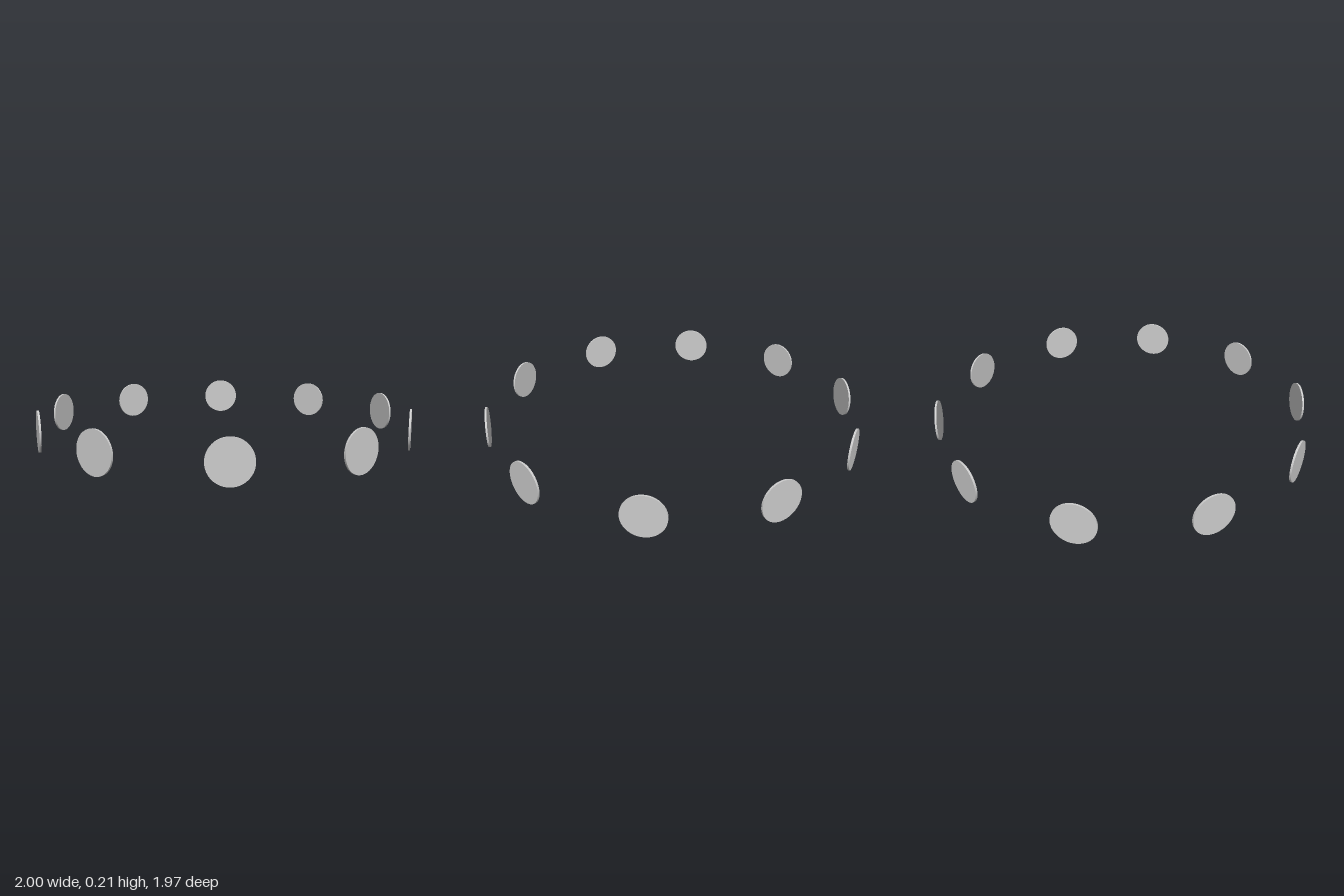
import * as THREE from 'three';

const COUNT = 10;
const DISC_RADIUS = 0.107;
const THICKNESS = 0.01;
const RING_RADIUS = 1 - THICKNESS / 2;

export function createModel() {
  const model = new THREE.Group();
  model.name = 'discRing';
  const material = new THREE.MeshStandardMaterial({ color: 0xcccccc });

  // Thin upright disc with its axis along x
  const geometry = new THREE.CylinderGeometry(DISC_RADIUS, DISC_RADIUS, THICKNESS, 48);
  geometry.rotateZ(-Math.PI / 2);

  // Evenly spaced discs, each facing outward from the centre
  for (let i = 0; i < COUNT; i++) {
    const angle = (i / COUNT) * Math.PI * 2;
    const disc = new THREE.Mesh(geometry, material);
    disc.name = `disc${i + 1}`;
    disc.position.set(Math.cos(angle) * RING_RADIUS, DISC_RADIUS, Math.sin(angle) * RING_RADIUS);
    disc.rotation.y = -angle;
    model.add(disc);
  }
  return model;
}
